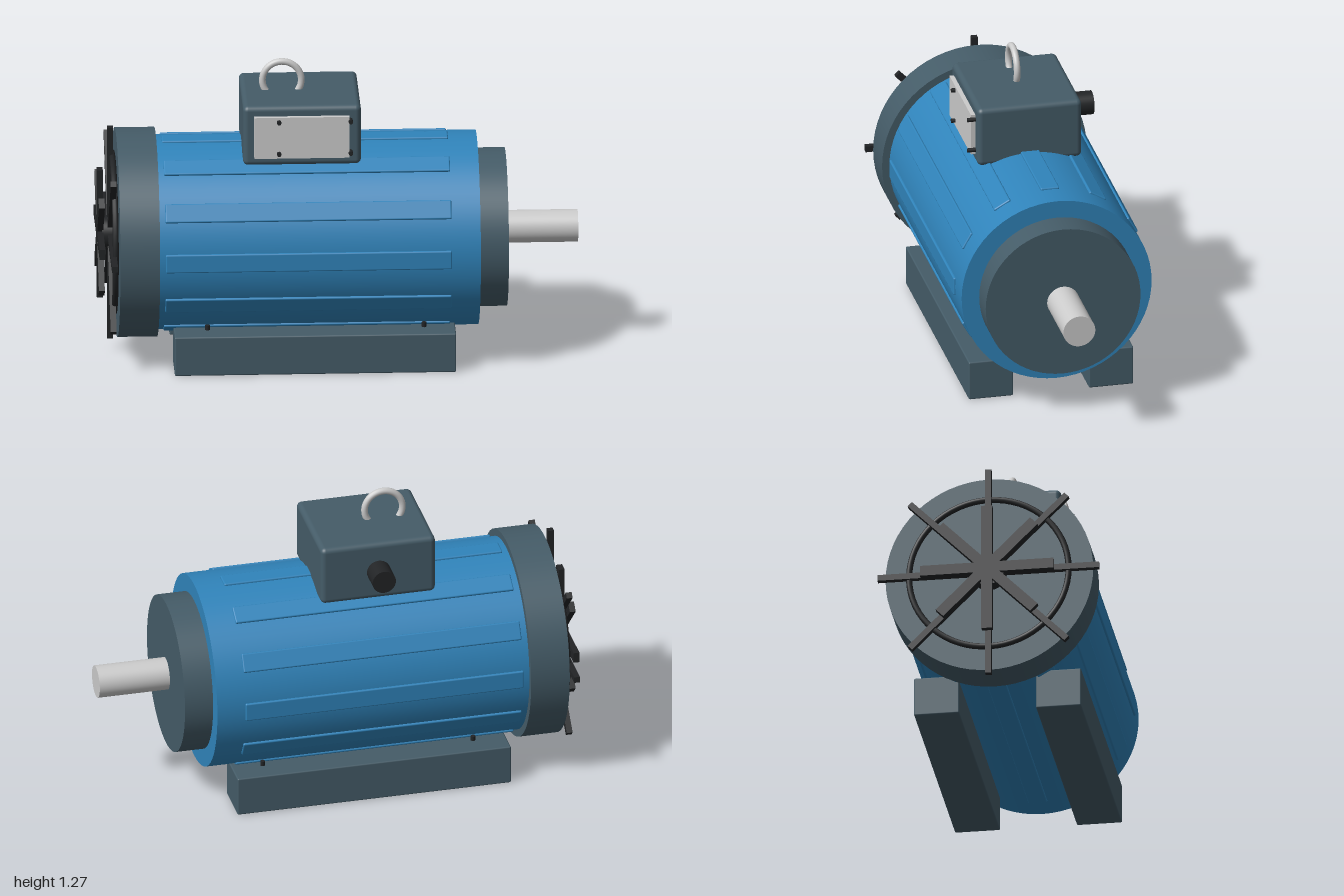
import * as THREE from 'three';
import { RoundedBoxGeometry } from 'three/addons/geometries/RoundedBoxGeometry.js';

const AXIS_Y = 0.515;
const mat = (color) => new THREE.MeshStandardMaterial({ color });

export function createModel() {
  const model = new THREE.Group();
  const blue = mat(0x3084bb), slate = mat(0x455c68), black = mat(0x222426), grey = mat(0xcccccc);

  const add = (parent, name, geometry, material, x = 0, y = 0, z = 0) => {
    const mesh = new THREE.Mesh(geometry, material);
    mesh.name = name;
    mesh.position.set(x, y, z);
    parent.add(mesh);
    return mesh;
  };
  // Cylinder lying along x, from x0 to x1
  const drum = (parent, name, r, x0, x1, material, y = 0) =>
    add(parent, name, new THREE.CylinderGeometry(r, r, x1 - x0, 64).rotateZ(Math.PI / 2), material, (x0 + x1) / 2, y, 0);
  const group = (name, y = 0) => {
    const g = new THREE.Group();
    g.name = name;
    g.position.y = y;
    model.add(g);
    return g;
  };

  // Rotating-axis parts
  const housing = group('housing', AXIS_Y);
  drum(housing, 'body', 0.405, -0.76, 0.58, blue);
  drum(housing, 'fanCowl', 0.436, -0.92, -0.755, slate);
  drum(housing, 'endBell', 0.33, 0.57, 0.7, slate);
  drum(housing, 'shaft', 0.068, 0.69, 1, grey);

  // Low pads spaced around the body
  const ribGeometry = new RoundedBoxGeometry(1.19, 0.03, 0.08, 2, 0.006);
  for (let i = 0; i < 12; i++) {
    const a = (i * Math.PI) / 6;
    const rib = add(housing, 'coolingRib', ribGeometry, blue, -0.135, Math.cos(a) * 0.397, Math.sin(a) * 0.397);
    rib.rotation.x = a;
  }

  // Fan guard: long spokes, ring, hub and short outer blades
  const guard = group('fanGuard', AXIS_Y);
  const spokeGeometry = new THREE.BoxGeometry(0.025, 0.93, 0.026);
  const bladeGeometry = new THREE.BoxGeometry(0.025, 0.56, 0.045);
  for (let i = 0; i < 4; i++) {
    const a = (i * Math.PI) / 4;
    add(guard, 'guardSpoke', spokeGeometry, black, -0.944, 0, 0).rotation.x = a;
    add(guard, 'fanBlade', bladeGeometry, black, -0.9875, 0, 0).rotation.x = a;
  }
  add(guard, 'guardRing', new THREE.TorusGeometry(0.335, 0.013, 10, 64).rotateY(Math.PI / 2), black, -0.935, 0, 0);
  drum(guard, 'guardHub', 0.072, -0.98, -0.915, black);

  // Mounting feet with bolt heads
  const feet = group('feet');
  for (const s of [1, -1]) {
    add(feet, 'foot', new RoundedBoxGeometry(1.17, 0.17, 0.19, 2, 0.006), slate, -0.105, 0.085, s * 0.256);
    for (const x of [-0.55, 0.35])
      add(feet, 'footBolt', new THREE.CylinderGeometry(0.01, 0.01, 0.024, 12), black, x, 0.178, s * 0.256);
  }

  // Terminal box
  const terminal = group('terminalBox');
  add(terminal, 'box', new RoundedBoxGeometry(0.49, 0.26, 0.444, 4, 0.022), slate, -0.155, 1.006, 0);
  add(terminal, 'namePlate', new THREE.BoxGeometry(0.395, 0.18, 0.02), grey, -0.157, 1.004, 0.231);
  for (const x of [-0.252, 0.046]) for (const y of [0.936, 1.075])
    add(terminal, 'plateScrew', new THREE.CylinderGeometry(0.009, 0.009, 0.035, 12).rotateX(Math.PI / 2), black, x, y, 0.24);
  add(terminal, 'cableGland', new THREE.CylinderGeometry(0.05, 0.05, 0.11, 32).rotateX(Math.PI / 2), black, -0.155, 1.005, -0.265);

  // Lifting eye
  add(model, 'liftingEye', new THREE.TorusGeometry(0.081, 0.014, 14, 48), grey, -0.23, 1.176, 0);

  return model;
}
